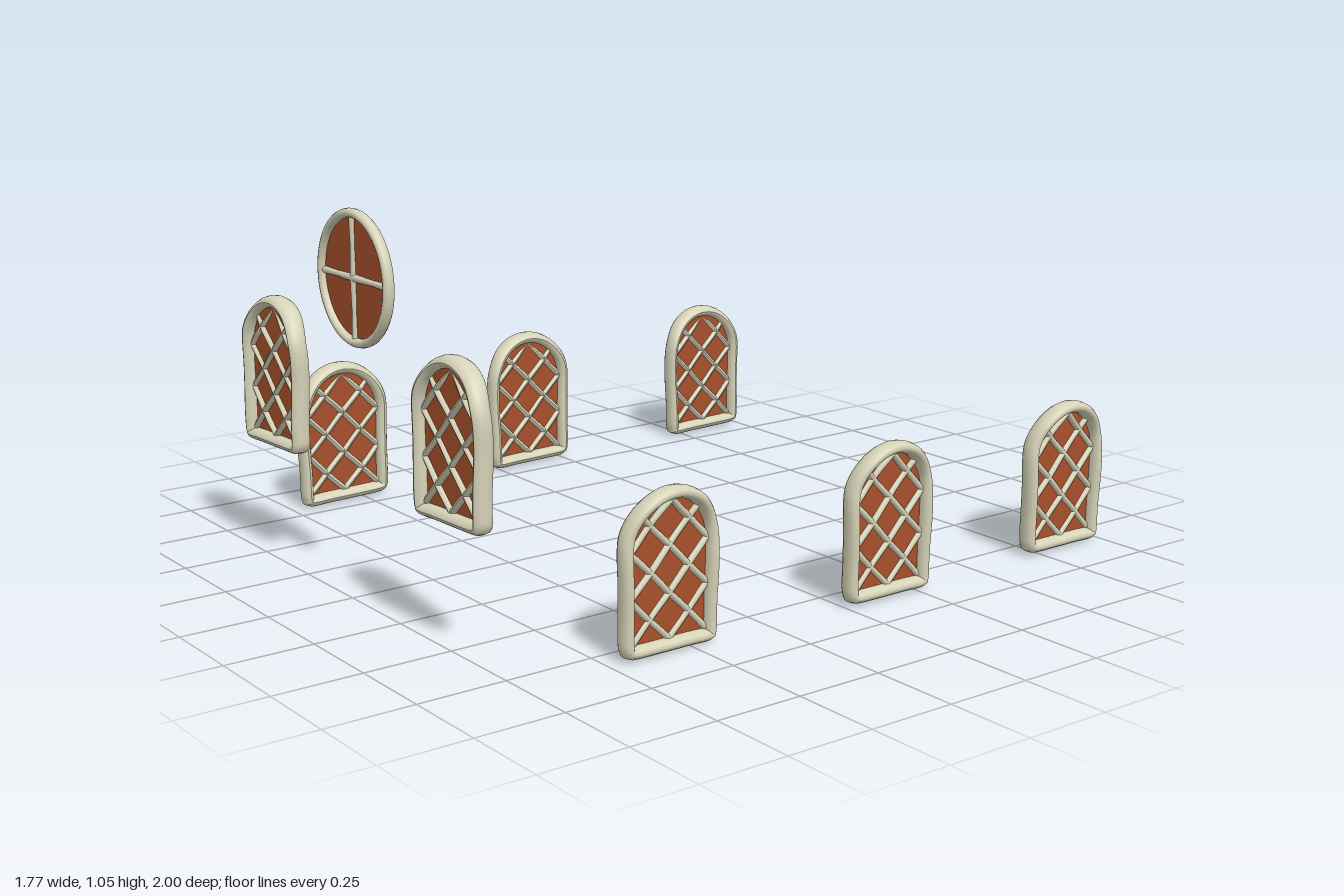
import * as THREE from 'three';

const cream = new THREE.MeshStandardMaterial({ color: 0xd6d3b8 });
cream.name = 'cream frame';
const rust = new THREE.MeshStandardMaterial({ color: 0xa8512b, side: THREE.DoubleSide });
rust.name = 'rust pane';

const HALF = 0.136, SPRING = 0.276, RISE = 0.139; // arch centreline: half width, spring height, rise
const smooth = THREE.MathUtils.smoothstep;
const v = (x, y, z = 0) => new THREE.Vector3(x, y, z);

function addMesh(group, name, geometry, material) {
  const m = new THREE.Mesh(geometry, material);
  m.name = name;
  group.add(m);
  return m;
}

// Hand-moulded look: deepen the section, lean the crown backwards, twist slightly
function mould(geometry, depth) {
  const p = geometry.attributes.position;
  for (let i = 0; i < p.count; i++) {
    const x = p.getX(i), y = p.getY(i);
    const crown = smooth(y, 0.31, 0.42);
    const z = p.getZ(i) * depth * (1 + 0.1 * crown) - 0.014 * crown - 0.03 * x
      + 0.002 * Math.sin(y * 22);
    p.setZ(i, z);
  }
  geometry.computeVertexNormals();
  return geometry;
}

// Centreline of the arched outline, anticlockwise from the bottom left
function archPoints() {
  const pts = [v(-0.129, 0.019), v(-0.122, 0.0165), v(-0.06, 0.018), v(0.03, 0.019), v(0.122, 0.022),
    v(0.13, 0.025), v(0.132, 0.034), v(0.133, 0.12), v(0.135, 0.2)];
  for (let i = 0; i <= 12; i++) {
    const a = (i / 12) * Math.PI;
    pts.push(v(HALF * Math.cos(a), SPRING + RISE * Math.sin(a)));
  }
  pts.push(v(-0.136, 0.2), v(-0.133, 0.12), v(-0.131, 0.03));
  return pts;
}

const insideArch = (x, y) => Math.abs(x) < HALF && y > 0.018 &&
  (y < SPRING || (x / HALF) ** 2 + ((y - SPRING) / RISE) ** 2 < 1);

// Diagonal bar on the line y = slope * x + c, trimmed to the arch
function latticeBar(slope, c) {
  const xs = [];
  for (let x = -HALF; x <= HALF; x += 0.002) if (insideArch(x, slope * x + c)) xs.push(x);
  if (xs.length < 10) return null;
  const a = xs[0], b = xs[xs.length - 1], pts = [];
  for (let i = 0; i <= 6; i++) {
    const x = a + (b - a) * i / 6;
    pts.push(v(x, slope * x + c + 0.0015 * Math.sin(x * 50 + c * 30)));
  }
  return mould(new THREE.TubeGeometry(new THREE.CatmullRomCurve3(pts), 20, 0.0092, 8), 1.1);
}

function archedWindow() {
  const g = new THREE.Group();
  const outline = new THREE.CatmullRomCurve3(archPoints(), true, 'centripetal');
  addMesh(g, 'archFrame', mould(new THREE.TubeGeometry(outline, 120, 0.0175, 12, true), 1.55), cream);
  const shape = new THREE.Shape(archPoints().map(p => new THREE.Vector2(p.x, p.y)));
  const pane = new THREE.ShapeGeometry(shape);
  const p = pane.attributes.position;
  for (let i = 0; i < p.count; i++) p.setZ(i, -0.03 * p.getX(i));
  pane.computeVertexNormals();
  addMesh(g, 'pane', pane, rust);
  for (const slope of [1, -1])
    for (let k = -1; k <= 4; k++) {
      const bar = latticeBar(slope, 0.032 + 0.1225 * k);
      if (bar) addMesh(g, 'latticeBar', bar, cream);
    }
  return g;
}

function roundWindow() {
  const g = new THREE.Group();
  g.name = 'roundWindow';
  const ring = new THREE.TorusGeometry(0.171, 0.0125, 12, 64);
  ring.scale(1, 1, 1.3);
  addMesh(g, 'roundFrame', ring, cream);
  addMesh(g, 'roundPane', new THREE.CircleGeometry(0.171, 48), rust);
  // Cross bars, slightly thicker in the middle
  for (const turn of [0, Math.PI / 2]) {
    const profile = [[0.01, -0.17], [0.008, -0.09], [0.0105, 0], [0.008, 0.09], [0.01, 0.17]]
      .map(q => new THREE.Vector2(...q));
    const bar = addMesh(g, 'crossBar', new THREE.LatheGeometry(profile, 12), cream);
    bar.rotation.z = turn;
    if (!turn) bar.position.x = -0.006;
  }
  g.position.set(0.01, 0.867, 0.968);
  return g;
}

export function createModel() {
  const model = new THREE.Group();
  model.name = 'windowSet';
  const base = archedWindow();
  const q = Math.PI / 2;
  // name, x, y, z, turn
  const places = [
    ['frontRightWindow', -0.463, 0.312, 0.968, 0],
    ['frontLeftWindow', 0.47, 0.312, 0.968, 0],
    ['rightBackWindow', -0.84, 0, -0.848, q],
    ['rightMiddleWindow', -0.841, 0, -0.128, q],
    ['rightForwardWindow', -0.825, 0, 0.566, q],
    ['leftBackWindow', 0.824, 0, -0.848, -q],
    ['leftMiddleWindow', 0.845, 0, -0.153, -q],
    ['leftForwardWindow', 0.824, 0, 0.566, -q],
  ];
  for (const [name, x, y, z, turn] of places) {
    const w = base.clone();
    w.name = name;
    w.position.set(x, y, z);
    w.rotation.y = turn;
    model.add(w);
  }
  model.add(roundWindow());
  return model;
}
